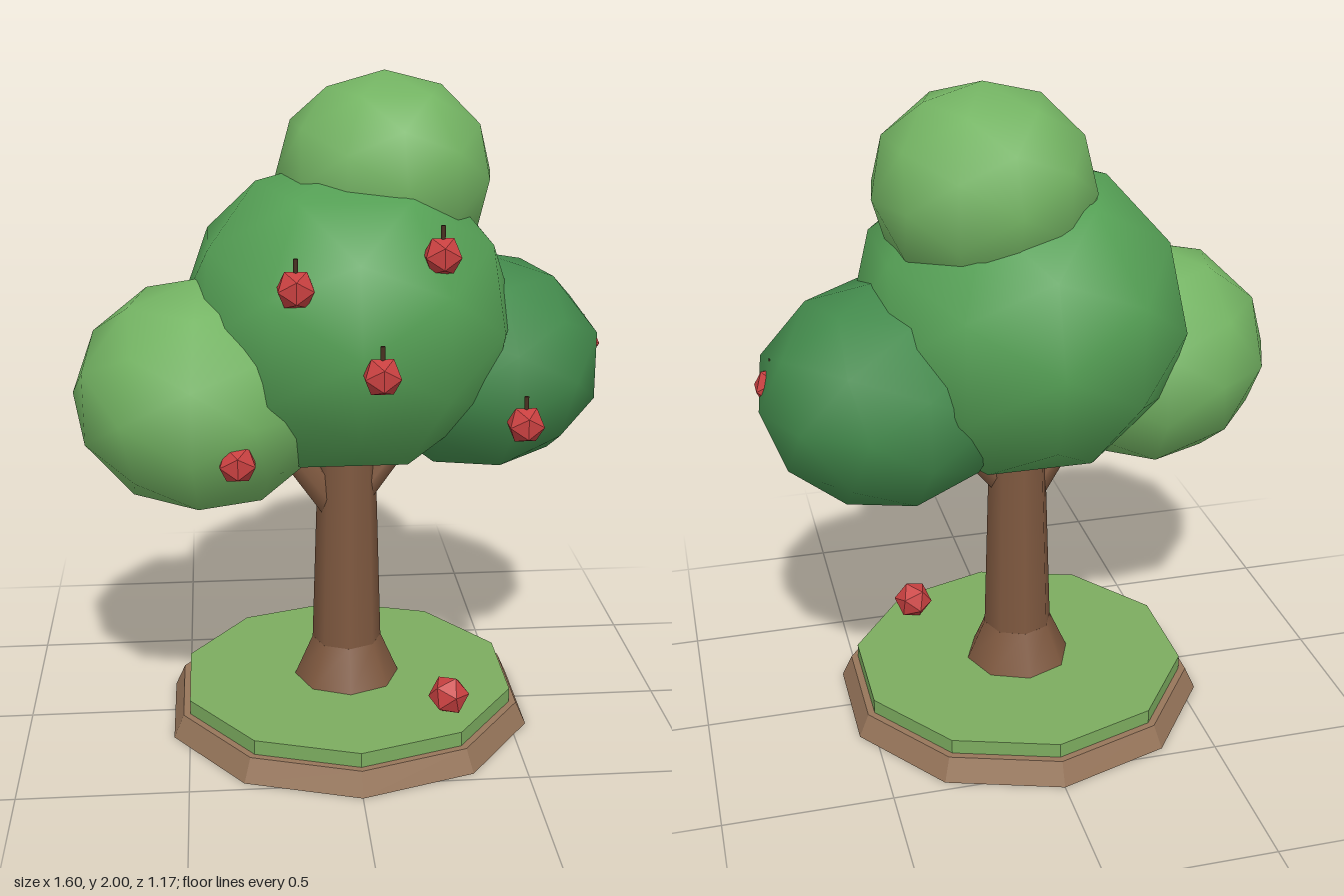
import * as THREE from 'three';

const mat = (color, flatShading = false) => new THREE.MeshStandardMaterial({ color, flatShading });

function addMesh(parent, name, geometry, material, x = 0, y = 0, z = 0) {
  const mesh = new THREE.Mesh(geometry, material);
  mesh.name = name;
  mesh.position.set(x, y, z);
  parent.add(mesh);
  return mesh;
}

// Tapered limb between two points
function addLimb(parent, name, from, to, r0, r1, material) {
  const a = new THREE.Vector3(...from), b = new THREE.Vector3(...to);
  const dir = b.clone().sub(a);
  const mid = a.clone().add(b).multiplyScalar(0.5);
  const limb = addMesh(parent, name, new THREE.CylinderGeometry(r1, r0, dir.length(), 6), material, mid.x, mid.y, mid.z);
  limb.quaternion.setFromUnitVectors(new THREE.Vector3(0, 1, 0), dir.normalize());
}

export function createModel() {
  const tree = new THREE.Group();
  tree.name = 'appleTree';

  const soil = mat(0x96755a, true), grass = mat(0x7cac5f, true), bark = mat(0x7e583f);
  const red = mat(0xc84040, true), twig = mat(0x4a3020);

  // Ten-sided base with a grass disc
  addMesh(tree, 'soilBase', new THREE.CylinderGeometry(0.545, 0.577, 0.07, 10), soil, 0, 0.035, 0);
  addMesh(tree, 'grassDisc', new THREE.CylinderGeometry(0.523, 0.523, 0.045, 10), grass, 0, 0.0925, 0);

  // Trunk with flared foot, and branches reaching into the crown
  addMesh(tree, 'trunkFoot', new THREE.CylinderGeometry(0.108, 0.165, 0.13, 8), bark, 0, 0.178, 0);
  addMesh(tree, 'trunk', new THREE.CylinderGeometry(0.085, 0.108, 0.72, 8), bark, 0, 0.6, 0);
  addLimb(tree, 'rightBranch', [-0.03, 0.68, 0.01], [-0.25, 0.98, 0.05], 0.05, 0.035, bark);
  addLimb(tree, 'leftBranch', [0.03, 0.72, 0.01], [0.24, 0.98, -0.03], 0.045, 0.035, bark);

  // Crown: slightly squashed spheres, each turned about its upright axis
  const crown = [
    ['mainCrown', 0x55a055, [0, 1.29, -0.005], [0.505, 0.475, 0.537], 0],
    ['rightCrown', 0x74b463, [-0.43, 1.09, 0.11], [0.385, 0.345, 0.385], -0.65],
    ['leftCrown', 0x438a4c, [0.41, 1.12, -0.085], [0.38, 0.335, 0.38], 0.73],
    ['topCrown', 0x74b463, [0.115, 1.7, -0.075], [0.325, 0.3, 0.325], 0.11],
  ];
  for (const [name, color, pos, radii, turn] of crown) {
    const geometry = new THREE.IcosahedronGeometry(1, 1).rotateY(turn).scale(...radii);
    addMesh(tree, name, geometry, mat(color), ...pos);
  }

  // Apples with stems
  const apples = [
    [-0.175, 1.475, 0.445], [0.23, 1.545, 0.375], [0.05, 1.255, 0.54],
    [0.485, 1.04, 0.33], [-0.34, 0.985, 0.445], [0.735, 1.168, -0.09],
  ];
  for (const pos of apples) {
    const apple = new THREE.Group();
    apple.name = 'apple';
    apple.position.set(...pos);
    addMesh(apple, 'fruit', new THREE.IcosahedronGeometry(0.058, 0), red);
    addMesh(apple, 'stem', new THREE.CylinderGeometry(0.007, 0.007, 0.05, 5), twig, 0, 0.06, 0);
    tree.add(apple);
  }
  const fallen = addMesh(tree, 'fallenApple', new THREE.IcosahedronGeometry(0.062, 0), red, 0.285, 0.175, 0.3);
  fallen.rotation.set(0.3, 0.4, 0.2);

  return tree;
}
